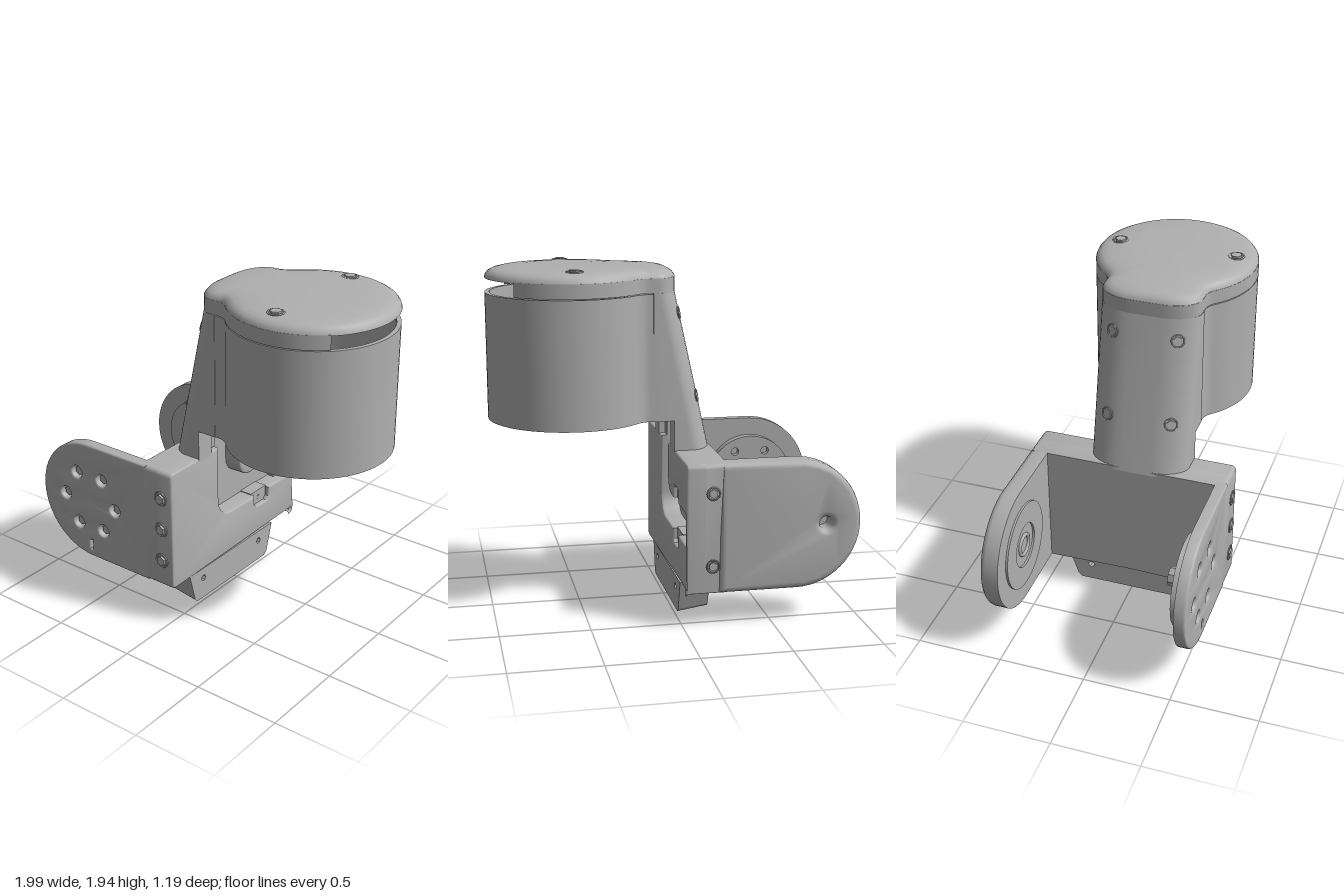
import * as THREE from 'three';
import { toCreasedNormals } from 'three/addons/utils/BufferGeometryUtils.js';

const V2 = (x, y) => new THREE.Vector2(x, y);
const CZ = 0.045;                       // z of the neck and housing axis
const HX = 0.53, HR = 0.46;             // housing centre x and radius

function circleHole(x, y, r, n = 20) {
  const pts = [];
  for (let i = 0; i < n; i++) pts.push(V2(x + r * Math.cos(i / n * 2 * Math.PI), y + r * Math.sin(i / n * 2 * Math.PI)));
  return new THREE.Path(pts);
}

// Extruded slab: flat at z = 0, rounded along the edge at z = depth
function slab(shape, depth, bevel = 0, crease = 0.6) {
  const g = new THREE.ExtrudeGeometry(shape, {
    depth: depth - bevel, curveSegments: 16, bevelEnabled: bevel > 0,
    bevelThickness: bevel, bevelSize: bevel, bevelOffset: -bevel, bevelSegments: 3,
  });
  const p = g.attributes.position;
  for (let i = 0; i < p.count; i++) p.setZ(i, Math.max(0, p.getZ(i)));
  return toCreasedNormals(g, crease);
}

// Solid through stacked loops of (x, -z) points, each at its own height
function loft(loops, crease = 0.6) {
  const n = loops[0].pts.length, pos = [], idx = [];
  loops.forEach(l => l.pts.forEach(p => pos.push(p.x, l.y, -p.y)));
  for (let k = 0; k < loops.length - 1; k++) {
    for (let i = 0; i < n; i++) {
      const a = k * n + i, b = k * n + (i + 1) % n;
      idx.push(a, b, b + n, a, b + n, a + n);
    }
  }
  const top = (loops.length - 1) * n;
  THREE.ShapeUtils.triangulateShape(loops[0].pts, []).forEach(t => idx.push(t[0], t[2], t[1]));
  THREE.ShapeUtils.triangulateShape(loops[loops.length - 1].pts, []).forEach(t => idx.push(top + t[0], top + t[1], top + t[2]));
  const g = new THREE.BufferGeometry();
  g.setAttribute('position', new THREE.Float32BufferAttribute(pos, 3));
  g.setIndex(idx);
  return toCreasedNormals(g, crease);
}

// Closes a half outline (v >= 0) by mirroring it about the axis of the housing
function mirrorHalf(half) {
  const up = half.map(p => V2(p.x, p.y - CZ));
  const down = half.filter(p => p.y > 1e-4).reverse().map(p => V2(p.x, -p.y - CZ));
  return [...up, ...down];
}

// Round housing blended into the neck; d insets the whole outline
function housingHalf(left, round, d = 0) {
  const half = [], r = HR - d, w = 0.282 - d;
  for (let i = 0; i <= 30; i++) {
    const a = i / 30 * 2.34;
    half.push(V2(HX + r * Math.cos(a), r * Math.sin(a)));
  }
  const end = half[30];
  for (let i = 1; i <= 6; i++) {
    const t = i / 6, s = 1 - t;
    half.push(V2(s * s * end.x + 2 * s * t * 0.17 + t * t * 0.12, s * s * end.y + 2 * s * t * w + t * t * w));
  }
  if (!round) half.push(V2(left, w));
  else for (let i = 0; i <= 8; i++) {
    const a = i / 8 * Math.PI / 2;
    half.push(V2(left + d + 0.12 * (1 - Math.sin(a)) , w - 0.2 + 0.2 * Math.cos(a)));
  }
  return half;
}

export function createModel() {
  const model = new THREE.Group();
  const grey = new THREE.MeshStandardMaterial({ color: 0xb0b0b0 });
  grey.name = 'plain grey';
  const add = (name, geo, x = 0, y = 0, z = 0) => {
    const m = new THREE.Mesh(geo, grey);
    m.name = name;
    m.position.set(x, y, z);
    model.add(m);
    return m;
  };
  // Six-sided screw head with a rim, facing along dir
  const screw = (name, x, y, z, dir, r, height, rim = true) => {
    const g = new THREE.Group();
    g.name = name;
    const head = new THREE.Mesh(toCreasedNormals(new THREE.CylinderGeometry(r, r, height, 6).rotateX(Math.PI / 2), 0.5), grey);
    g.add(head);
    if (rim) g.add(new THREE.Mesh(new THREE.TorusGeometry(r * 1.35, r * 0.16, 6, 20), grey));
    g.quaternion.setFromUnitVectors(new THREE.Vector3(0, 0, 1), new THREE.Vector3(...dir).normalize());
    g.position.set(x, y, z);
    model.add(g);
  };

  // Side plates with one round end
  const AX = -0.635, AY = 0.565;
  const plateShape = s => {
    const pts = [];
    for (let i = 0; i <= 28; i++) {
      const a = Math.PI / 2 + i / 28 * Math.PI;
      pts.push(V2(s * (AX + 0.365 * Math.cos(a)), AY + 0.365 * Math.sin(a)));
    }
    pts.push(V2(s * -0.2, 0.2), V2(s * -0.2, 0.93));
    return new THREE.Shape(s < 0 ? pts.reverse() : pts);
  };
  const bolts = [0, 1, 2, 3, 4, 5].map(i => [AX + 0.19 * Math.cos(i * Math.PI / 3), AY + 0.19 * Math.sin(i * Math.PI / 3)]);
  const front = plateShape(1);
  bolts.forEach(([x, y]) => {
    front.holes.push(circleHole(x, y, 0.038));
    screw('plateNut', x, y, 0.525, [0, 0, 1], 0.03, 0.05, false);
  });
  front.holes.push(new THREE.Path([V2(-0.65, 0.245), V2(-0.632, 0.245), V2(-0.632, 0.31), V2(-0.65, 0.3)]));
  add('frontPlate', slab(front, 0.065, 0.012), 0, 0, 0.51);

  const back = plateShape(-1);
  back.holes.push(circleHole(0.8, AY, 0.035));
  add('backPlate', slab(back, 0.11, 0.035).rotateY(Math.PI), 0, 0, -0.48);
  [0.77, 0.36].forEach(y => screw('backScrew', -0.16, y, -0.588, [0, 0, -1], 0.026, 0.008));

  // Drive disc and knob inside the front plate
  const disc = new THREE.Shape(circleHole(0, 0, 0.26, 40).getPoints());
  bolts.forEach(([x, y]) => disc.holes.push(circleHole(x - AX, y - AY, 0.024)));
  add('driveDisc', slab(disc, 0.055), AX, AY, 0.46);
  add('driveKnob', toCreasedNormals(new THREE.CylinderGeometry(0.07, 0.052, 0.09, 8).rotateX(Math.PI / 2), 0.5), AX, AY, 0.425);

  // Idler ring inside the back plate
  const ring = new THREE.Shape(circleHole(0, 0, 0.255, 40).getPoints());
  ring.holes.push(circleHole(0, 0, 0.13, 32));
  add('idlerRing', slab(ring, 0.014), AX, AY, -0.482);
  add('idlerBoss', new THREE.TorusGeometry(0.06, 0.012, 8, 28), AX, AY, -0.478);

  // Web joining the plates: solid back layer and a front layer with the cable groove
  const toSide = g => g.rotateY(Math.PI / 2);
  const c = 0.025;
  const corners = (x, y, sx, sy) => [0, 1, 2, 3].map(i => {
    const a = i / 3 * Math.PI / 2;
    return V2(x - sx * c * (1 - Math.sin(a)), y - sy * c * (1 - Math.cos(a)));
  });
  const lowerEdge = [...corners(-0.575, 0.2, -1, -1), ...corners(0.585, 0.2, 1, -1).reverse()];
  lowerEdge.splice(0, 4, ...lowerEdge.slice(0, 4).reverse());
  const rightTop = corners(0.585, 0.93, 1, 1).reverse(), leftTop = corners(-0.575, 0.93, -1, 1);
  add('webBack', toSide(slab(new THREE.Shape([...lowerEdge, ...rightTop, ...leftTop]), 0.12)), -0.24, 0, 0);

  const arc = (x, y, r, a0, a1) => [0, 1, 2, 3, 4, 5, 6].map(i => {
    const a = a0 + (a1 - a0) * i / 6;
    return V2(x + r * Math.cos(a), y + r * Math.sin(a));
  });
  const groove = [
    V2(0.05, 0.93), ...arc(0.15, 0.75, 0.1, Math.PI, Math.PI * 1.5),
    V2(0.2, 0.65), V2(0.2, 0.71), V2(0.22, 0.73), V2(0.32, 0.73), V2(0.34, 0.71), V2(0.34, 0.65),
    V2(0.55, 0.65), V2(0.55, 0.47),
    V2(0.34, 0.47), V2(0.34, 0.41), V2(0.32, 0.39), V2(0.22, 0.39), V2(0.2, 0.41), V2(0.2, 0.47),
    ...arc(-0.03, 0.59, 0.12, Math.PI * 1.5, Math.PI), V2(-0.15, 0.93),
  ];
  add('webFront', toSide(slab(new THREE.Shape([...lowerEdge, ...rightTop, ...groove, ...leftTop]), 0.105, 0.012)), -0.12, 0, 0);
  [0.69, 0.43].forEach(y => {
    add('grooveTab', new THREE.BoxGeometry(0.085, 0.09, 0.15), -0.085, y, -0.27);
    screw('tabScrew', -0.043, y, -0.27, [1, 0, 0], 0.01, 0.006);
  });
  add('grooveStop', new THREE.BoxGeometry(0.05, 0.19, 0.02), -0.1, 0.56, -0.48);
  [0.76, 0.565, 0.365].forEach(y => screw('webScrew', -0.095, y, 0.576, [0, 0, 1], 0.03, 0.024));

  // Sloping tab under the web
  const tab = new THREE.Shape([V2(-0.355, 0.01), V2(0.305, 0.01), V2(0.33, 0.03), V2(0.38, 0.205), V2(-0.42, 0.205), V2(-0.375, 0.03)]);
  [-0.295, 0.245].forEach(u => tab.holes.push(circleHole(u, 0.14, 0.02, 6)));
  const tabGeo = new THREE.ExtrudeGeometry(tab, { depth: 0.17, bevelEnabled: false });
  const tp = tabGeo.attributes.position;
  for (let i = 0; i < tp.count; i++) if (tp.getY(i) < 0.05 && tp.getZ(i) < 0.05) tp.setY(i, tp.getY(i) + 0.025);
  add('lowerTab', toCreasedNormals(toSide(tabGeo), 0.5), -0.19, 0, 0);

  // Leaning neck with a stepped channel on its inner side
  const lean = y => -0.24 + (y - 0.93) * 0.219;
  const neckLoop = (y, end) => {
    const f = lean(y), half = [];
    for (let i = 0; i <= 8; i++) {
      const a = i / 8 * Math.PI / 2;
      half.push(V2(f + 0.12 * (1 - Math.sin(a)), 0.085 + 0.2 * Math.cos(a)));
    }
    const shelf = end - 0.035, floor = Math.min(f + 0.1, shelf - 0.01);
    const inner = [V2(floor, 0.1), V2(shelf, 0.1), V2(shelf, 0.17), V2(end, 0.17), V2(end, 0.285)];
    return { y, pts: mirrorHalf([...inner, ...half]) };
  };
  add('neck', loft([neckLoop(0.91, -0.015), neckLoop(1.1, -0.015), neckLoop(1.1, 0.1), neckLoop(1.81, 0.1)]));
  for (const y of [1.22, 1.69]) for (const s of [-1, 1])
    screw('neckScrew', lean(y) + 0.016, y, CZ + s * 0.185, [-0.92, 0.2, s * 0.33], 0.026, 0.008);

  // Hollow round housing, open below
  const wall = new THREE.Shape(mirrorHalf(housingHalf(0.08, false)));
  wall.holes.push(circleHole(HX, -CZ, 0.435, 64));
  add('housing', slab(wall, 0.705).rotateX(-Math.PI / 2), 0, 1.1, 0);

  // Cap skirt, interrupted by the wide slot
  const full = housingHalf(-0.05, true).filter(p => p.x < 0.86);
  const outer = [...full.map(p => V2(p.x, p.y - CZ)), ...full.slice().reverse().map(p => V2(p.x, -p.y - CZ))];
  for (let i = 0; i <= 40; i++) {
    const a = -0.8 - i / 40 * (2 * Math.PI - 1.6);
    outer.push(V2(HX + 0.435 * Math.cos(a), -CZ + 0.435 * Math.sin(a)));
  }
  add('capSkirt', slab(new THREE.Shape(outer), 0.08).rotateX(-Math.PI / 2), 0, 1.81, 0);

  // Softly domed lid
  const lidLoops = [[1.885, 0], [1.9, 0.004], [1.918, 0.018], [1.93, 0.04], [1.938, 0.075]]
    .map(([y, d]) => ({ y, pts: mirrorHalf(housingHalf(-0.05, true, d)) }));
  const rim = lidLoops[4].pts;
  [[1.946, 0.75], [1.95, 0.4], [1.951, 0.05]].forEach(([y, k]) =>
    lidLoops.push({ y, pts: rim.map(p => V2(0.45 + (p.x - 0.45) * k, -CZ + (p.y + CZ) * k)) }));
  add('lid', loft(lidLoops, 0.8));
  add('lidHub', new THREE.CylinderGeometry(0.1, 0.12, 0.05, 6), HX, 1.865, CZ);
  [-0.295, 0.385].forEach(z => screw('lidScrew', 0.535, 1.942, z, [0, 1, 0], 0.032, 0.02));

  return model;
}
